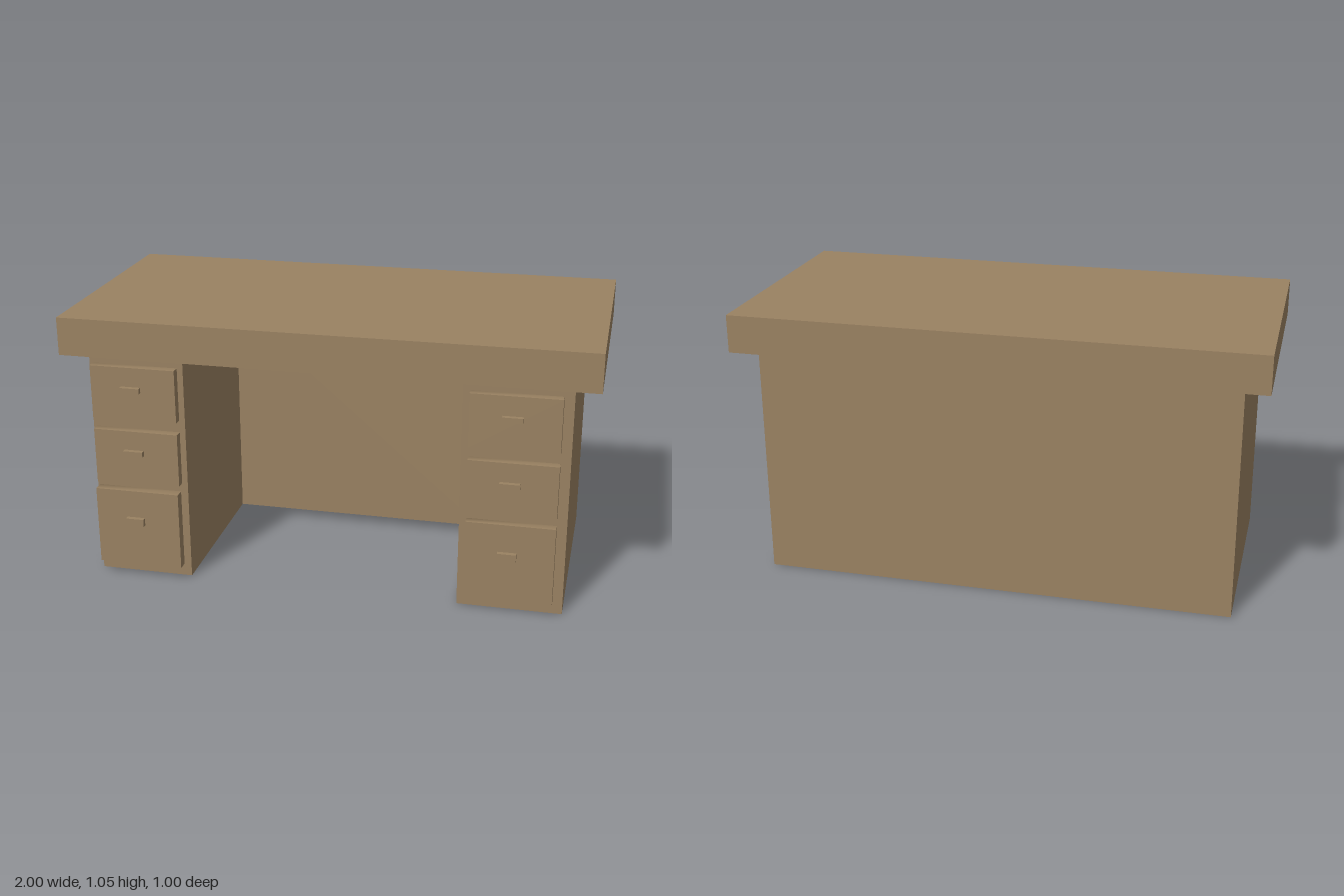
import * as THREE from 'three';

const wood = new THREE.MeshStandardMaterial({ color: 0x9a8262 });

function addMesh(parent, name, geometry, x = 0, y = 0, z = 0) {
  const mesh = new THREE.Mesh(geometry, wood);
  mesh.name = name;
  mesh.position.set(x, y, z);
  parent.add(mesh);
  return mesh;
}

// Drawer front: a slab whose rear part steps in to a narrower neck
function drawerGeometry(w, h, zFront, inset) {
  const geometry = new THREE.BoxGeometry(w, h, 3, 1, 1, 3);
  const rings = [[0.42, inset], [0.438, inset], [0.446, 0], [zFront, 0]];
  const p = geometry.attributes.position;
  for (let i = 0; i < p.count; i++) {
    const [z, d] = rings[Math.round(p.getZ(i) + 1.5)];
    p.setXYZ(i,
      p.getX(i) - Math.sign(p.getX(i)) * d,
      p.getY(i) - Math.sign(p.getY(i)) * d,
      z);
  }
  geometry.computeVertexNormals();
  return geometry;
}

export function createModel() {
  const desk = new THREE.Group();
  desk.name = 'desk';

  // Table top
  addMesh(desk, 'tableTop', new THREE.BoxGeometry(2, 0.145, 0.99), 0, 0.9745, -0.006);

  // U-shaped body: two pedestals joined by a thick back panel (plan drawn as x, -z)
  const plan = new THREE.Shape([
    [-0.908, -0.425], [-0.54, -0.425], [-0.54, 0.27], [0.51, 0.27],
    [0.51, -0.425], [0.906, -0.425], [0.906, 0.445], [-0.908, 0.445],
  ].map(([x, y]) => new THREE.Vector2(x, y)));
  const body = new THREE.ExtrudeGeometry(plan, { depth: 0.902, bevelEnabled: false });
  body.rotateX(-Math.PI / 2);
  addMesh(desk, 'body', body);

  // Drawers: bottom y, top y, neck inset, handle y, handle height
  const rows = [
    { name: 'top', y0: 0.66, y1: 0.867, inset: 0.014, hy: 0.782, hh: 0.02 },
    { name: 'middle', y0: 0.404, y1: 0.613, inset: 0.014, hy: 0.528, hh: 0.02 },
    { name: 'bottom', y0: 0.06, y1: 0.369, inset: 0.02, hy: 0.245, hh: 0.03 },
  ];
  for (const side of ['left', 'right']) {
    for (const r of rows) {
      const low = r.name === 'bottom';
      const shift = side === 'right' && low ? -0.006 : 0;
      const x = (side === 'left' ? 0.705 : -0.72) + shift;
      const zFront = shift ? 0.486 : 0.48;
      const drawer = new THREE.Group();
      drawer.name = `${side}_${r.name}_drawer`;
      addMesh(drawer, 'drawerFront', drawerGeometry(0.33, r.y1 - r.y0, zFront, r.inset),
        x, (r.y0 + r.y1) / 2, 0);
      const hx = side === 'left' ? 0.697 : shift ? -0.734 : -0.728;
      addMesh(drawer, 'handle', new THREE.BoxGeometry(low ? 0.07 : 0.076, r.hh, 0.022),
        hx, r.hy, zFront + 0.007);
      desk.add(drawer);
    }
  }
  return desk;
}
